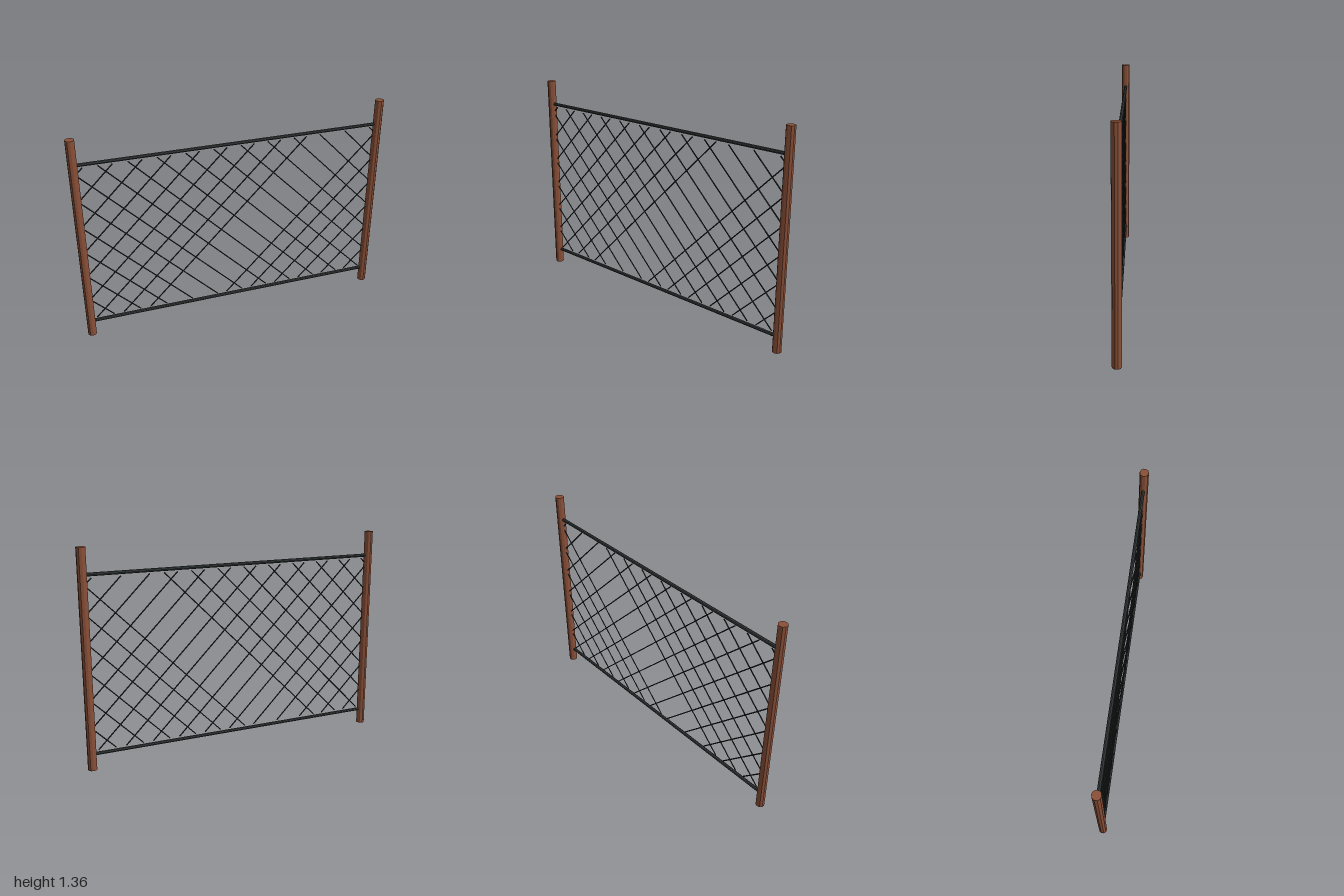
import * as THREE from 'three';

export function createModel() {
  const model = new THREE.Group();
  model.name = 'fencePanel';
  const wood = new THREE.MeshStandardMaterial({ color: 0x8a5038, flatShading: true });
  const railMetal = new THREE.MeshStandardMaterial({ color: 0x363c3c, flatShading: true });
  const wireMetal = new THREE.MeshStandardMaterial({ color: 0x2b2f30 });

  // Round bar between two points in the fence plane
  function bar(name, x0, y0, x1, y1, radius, sides, material, parent = model) {
    const a = new THREE.Vector3(x0, y0, 0);
    const dir = new THREE.Vector3(x1, y1, 0).sub(a);
    const mesh = new THREE.Mesh(
      new THREE.CylinderGeometry(radius, radius, dir.length(), sides), material);
    mesh.position.copy(a).addScaledVector(dir, 0.5);
    mesh.quaternion.setFromUnitVectors(new THREE.Vector3(0, 1, 0), dir.normalize());
    mesh.name = name;
    parent.add(mesh);
  }

  // Wooden posts
  const postX = 0.973;
  bar('leftPost', postX, 0, postX, 1.36, 0.028, 10, wood);
  bar('rightPost', -postX, 0, -postX, 1.36, 0.028, 10, wood);

  // Horizontal rails
  bar('topRail', -postX, 1.2, postX, 1.2, 0.011, 8, railMetal);
  bar('bottomRail', -postX, 0.1, postX, 0.1, 0.011, 8, railMetal);

  // Diagonal wires, clipped to the opening between posts and rails
  const mesh = new THREE.Group();
  mesh.name = 'wireMesh';
  model.add(mesh);
  const halfW = 0.946, yMin = 0.12, yMax = 1.18, pitch = 0.175;
  const missing = [2, 3]; // torn-out rising wires
  for (const slope of [1, -1]) {
    for (let k = -4; k <= 12; k++) {
      if (slope === 1 && missing.includes(k)) continue;
      const c = k * pitch; // y = c + slope * x
      const ends = [(yMin - c) * slope, (yMax - c) * slope].sort((a, b) => a - b);
      const x0 = Math.max(-halfW, ends[0]);
      const x1 = Math.min(halfW, ends[1]);
      bar(slope === 1 ? 'risingWire' : 'fallingWire',
        x0, c + slope * x0, x1, c + slope * x1, 0.004, 6, wireMetal, mesh);
    }
  }
  return model;
}
